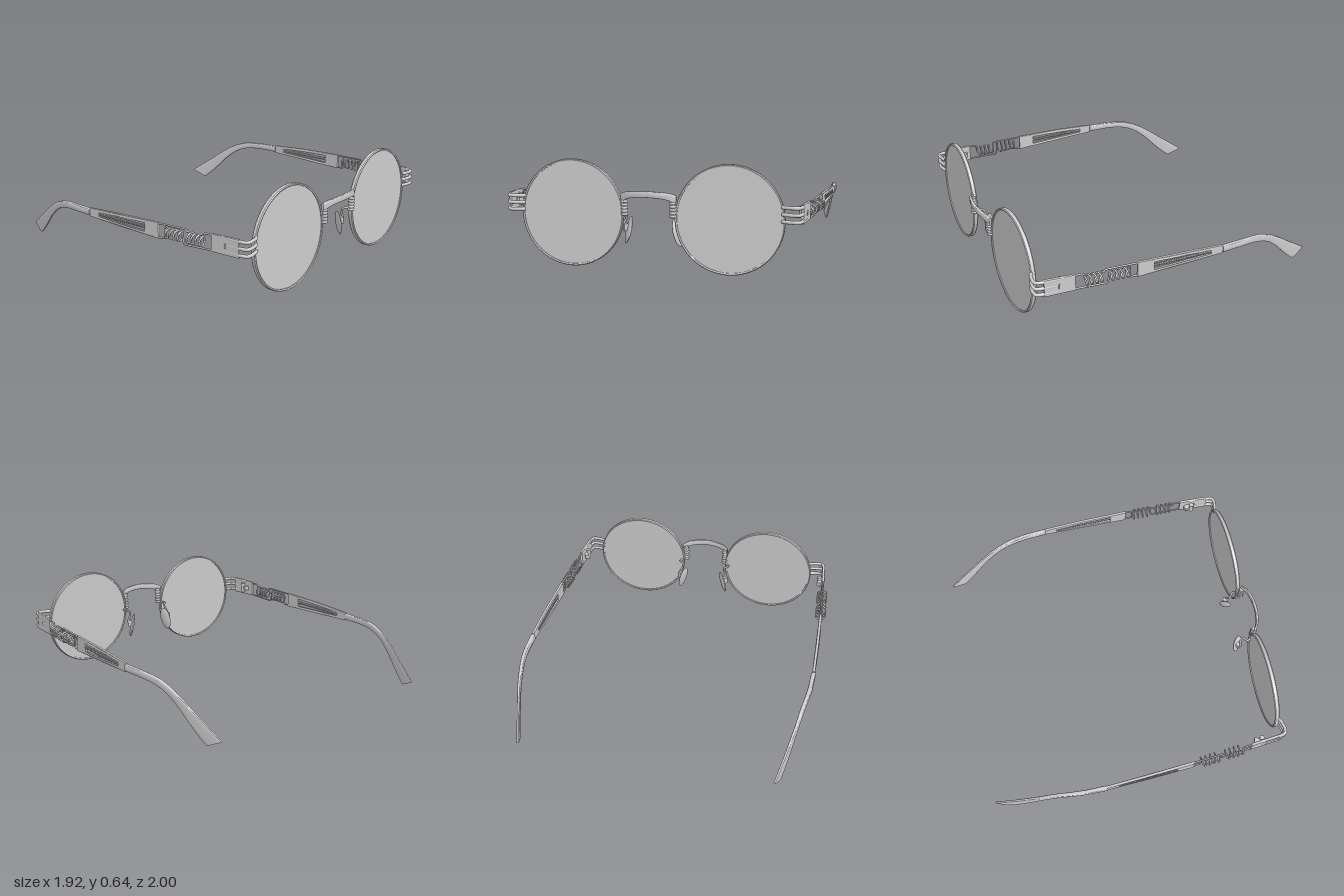
import * as THREE from 'three';
import { toCreasedNormals } from 'three/addons/utils/BufferGeometryUtils.js';

const V = (x, y, z) => new THREE.Vector3(x, y, z);
const material = new THREE.MeshStandardMaterial({ color: 0xcccccc, side: THREE.DoubleSide });

function part(group, name, geometry) {
  const mesh = new THREE.Mesh(geometry, material);
  mesh.name = name;
  group.add(mesh);
  return mesh;
}

// Sideways position of the temple at a given depth
const templeKnots = [[-1, 0.81], [-0.85, 0.853], [-0.7, 0.892], [-0.5, 0.929], [-0.38, 0.942], [-0.27, 0.945],
  [0, 0.94], [0.3, 0.93], [0.7, 0.907], [0.95, 0.888]];
function templeX(z) {
  let i = 1;
  while (i < templeKnots.length - 1 && z > templeKnots[i][0]) i++;
  const [z0, x0] = templeKnots[i - 1], [z1, x1] = templeKnots[i];
  return x0 + (x1 - x0) * (z - z0) / (z1 - z0);
}

// Skin over soft-cornered rectangles; each section is { c, u, v } with u x v pointing along the path
function loft(sections, n = 20) {
  const pos = [], index = [];
  const soft = t => Math.sign(t) * Math.pow(Math.abs(t), 0.45);
  for (const { c, u, v } of sections) {
    for (let j = 0; j < n; j++) {
      const a = (j / n) * Math.PI * 2;
      const p = c.clone().addScaledVector(u, soft(Math.cos(a))).addScaledVector(v, soft(Math.sin(a)));
      pos.push(p.x, p.y, p.z);
    }
  }
  const last = sections.length - 1, start = pos.length / 3;
  pos.push(...sections[0].c.toArray(), ...sections[last].c.toArray());
  for (let j = 0; j < n; j++) {
    const k = (j + 1) % n;
    for (let i = 0; i < last; i++) {
      const a = i * n + j, b = i * n + k, c = b + n, d = a + n;
      index.push(a, b, d, b, c, d);
    }
    index.push(start, k, j, start + 1, last * n + j, last * n + k);
  }
  const g = new THREE.BufferGeometry();
  g.setAttribute('position', new THREE.Float32BufferAttribute(pos, 3));
  g.setIndex(index);
  return toCreasedNormals(g, 0.6);
}

// Upright plate drawn as [z, y] points that follows the temple line
function plate(outline, hole, thickness) {
  const toPoints = pts => pts.map(([z, y]) => new THREE.Vector2(-z, y));
  const shape = new THREE.Shape(toPoints(outline));
  if (hole) shape.holes.push(new THREE.Path(toPoints(hole)));
  const b = 0.004;
  const g = new THREE.ExtrudeGeometry(shape, { depth: thickness - 2 * b, bevelThickness: b, bevelSize: b, bevelOffset: -b, bevelSegments: 2 });
  g.translate(0, 0, b - thickness / 2).rotateY(Math.PI / 2);
  const p = g.attributes.position;
  for (let i = 0; i < p.count; i++) p.setX(i, p.getX(i) + templeX(p.getZ(i)));
  g.computeVertexNormals();
  return g;
}

function wire(points, radius = 0.006) {
  const curve = new THREE.CatmullRomCurve3(points, false, 'catmullrom', 0.2);
  return new THREE.TubeGeometry(curve, points.length * 8, radius, 8);
}
const templeWire = pts => wire(pts.map(([z, y]) => V(templeX(z), y, z)));

// Coil running along the temple line
class Coil extends THREE.Curve {
  constructor(z0, z1, y0, y1, radius, turns) {
    super();
    Object.assign(this, { z0, z1, y0, y1, radius, turns });
  }
  getPoint(t, target = new THREE.Vector3()) {
    const a = t * this.turns * Math.PI * 2, z = this.z0 + (this.z1 - this.z0) * t;
    return target.set(templeX(z) + this.radius * Math.sin(a),
      this.y0 + (this.y1 - this.y0) * t + this.radius * Math.cos(a), z);
  }
}

// Copy of a group reflected to the other side, with corner order restored
function mirrored(group) {
  const copy = new THREE.Group();
  for (const mesh of group.children) {
    mesh.updateMatrix();
    const src = mesh.geometry.clone().applyMatrix4(mesh.matrix);
    const g = src.index ? src.toNonIndexed() : src;
    g.scale(-1, 1, 1);
    for (const attr of [g.attributes.position, g.attributes.normal]) {
      for (let i = 0; i < attr.count; i += 3) {
        const a = V().fromBufferAttribute(attr, i + 1), b = V().fromBufferAttribute(attr, i + 2);
        attr.setXYZ(i + 1, b.x, b.y, b.z);
        attr.setXYZ(i + 2, a.x, a.y, a.z);
      }
    }
    part(copy, mesh.name, g);
  }
  return copy;
}

function buildSide() {
  const side = new THREE.Group();

  // Round rim and flat lens, leaning back slightly
  const profile = [[0.309, -0.013], [0.317, -0.016], [0.322, -0.01], [0.322, 0.01], [0.317, 0.016], [0.309, 0.013], [0.309, -0.013]];
  const rim = toCreasedNormals(new THREE.LatheGeometry(profile.map(p => new THREE.Vector2(...p)), 72), 0.6);
  const lens = new THREE.CylinderGeometry(0.312, 0.312, 0.014, 72);
  for (const [name, g] of [['rim', rim], ['lens', lens]]) {
    g.rotateX(Math.PI / 2);
    const mesh = part(side, name, g);
    mesh.position.set(0.478, 0.328, 0.927);
    mesh.rotation.set(-0.035, 0.02, 0);
  }

  // Ribbed post holding the bridge to the rim
  part(side, 'bridgePost', new THREE.CylinderGeometry(0.016, 0.016, 0.115, 16)).position.set(0.147, 0.386, 0.946);
  for (let i = 0; i < 5; i++) {
    const ring = part(side, 'bridgePostRing', new THREE.TorusGeometry(0.013, 0.009, 8, 18).rotateX(Math.PI / 2));
    ring.position.set(0.147, 0.338 + i * 0.019, 0.946);
  }

  // Nose pad on a bent wire
  const pad = part(side, 'nosePad', new THREE.SphereGeometry(1, 28, 18).scale(0.014, 0.086, 0.038));
  pad.position.set(0.152, 0.222, 0.854);
  pad.rotation.set(0, -0.55, 0.24, 'ZYX');
  part(side, 'nosePadArm', wire([V(0.168, 0.335, 0.935), V(0.185, 0.33, 0.905), V(0.155, 0.325, 0.88),
    V(0.165, 0.29, 0.865), V(0.185, 0.25, 0.865), V(0.165, 0.235, 0.858)], 0.007));
  const mount = part(side, 'nosePadMount', new THREE.BoxGeometry(0.026, 0.045, 0.034));
  mount.position.set(0.17, 0.24, 0.857);
  mount.rotation.y = -0.55;

  // Three bars wrapping the front corner
  for (const y of [0.417, 0.376, 0.335]) {
    part(side, 'cornerBar', wire([V(0.782, y, 0.93), V(0.8, y, 0.94), V(0.85, y, 0.95), V(0.877, y, 0.945),
      V(0.889, y, 0.92), V(0.895, y, 0.86), V(0.9, y, 0.78)], 0.011));
  }

  // Front temple plate and its hinge
  part(side, 'frontPlate', plate([[0.9, 0.318], [0.9, 0.43], [0.71, 0.422], [0.71, 0.315]], null, 0.018));
  part(side, 'hingeBarrel', new THREE.CylinderGeometry(0.015, 0.015, 0.07, 16)).position.set(0.873, 0.37, 0.79);
  const leaf = part(side, 'hingeLeaf', new THREE.BoxGeometry(0.03, 0.03, 0.08));
  leaf.position.set(0.885, 0.37, 0.78);
  leaf.rotation.y = 0.35;

  // Two springs and the interlocking wires that hold them
  part(side, 'frontSpring', new THREE.TubeGeometry(new Coil(0.655, 0.532, 0.362, 0.358, 0.031, 4), 100, 0.006, 7));
  part(side, 'rearSpring', new THREE.TubeGeometry(new Coil(0.495, 0.368, 0.352, 0.348, 0.031, 4), 100, 0.006, 7));
  part(side, 'upperFrontWire', templeWire([[0.73, 0.413], [0.67, 0.412], [0.658, 0.405], [0.655, 0.385]]));
  part(side, 'lowerFrontWire', templeWire([[0.73, 0.321], [0.52, 0.308], [0.508, 0.314], [0.5, 0.35], [0.495, 0.383]]));
  part(side, 'upperRearWire', templeWire([[0.3, 0.392], [0.515, 0.402], [0.527, 0.397], [0.532, 0.385]]));
  part(side, 'lowerRearWire', templeWire([[0.3, 0.306], [0.355, 0.308], [0.366, 0.316], [0.368, 0.375]]));

  // Slotted temple plate with a coiled rod in the slot
  part(side, 'slottedPlate', plate([[0.32, 0.298], [0.32, 0.4], [0, 0.382], [-0.262, 0.36], [-0.262, 0.304], [0, 0.3]],
    [[0.215, 0.315], [0.215, 0.378], [0, 0.365], [-0.185, 0.35], [-0.185, 0.319], [0, 0.316]], 0.018));
  part(side, 'slotRod', templeWire([[0.22, 0.347], [0, 0.341], [-0.19, 0.335]]));
  part(side, 'slotCoil', new THREE.TubeGeometry(new Coil(0.215, -0.185, 0.347, 0.335, 0.009, 24), 264, 0.004, 5));

  // Curved ear tip: upper edge [z, y], lower edge [z, y]
  const edges = [[-0.262, 0.353, -0.262, 0.31], [-0.4, 0.35, -0.4, 0.308], [-0.5, 0.343, -0.48, 0.303], [-0.56, 0.332, -0.53, 0.294],
    [-0.62, 0.31, -0.59, 0.275], [-0.68, 0.279, -0.65, 0.241], [-0.76, 0.226, -0.72, 0.182], [-0.84, 0.166, -0.79, 0.107],
    [-0.92, 0.11, -0.85, 0.048], [-0.998, 0.053, -0.9, 0.008]];
  part(side, 'earTip', loft(edges.map(([zu, yu, zl, yl], i) => {
    const up = V(templeX(zu), yu, zu), low = V(templeX(zl), yl, zl);
    return {
      c: up.clone().add(low).multiplyScalar(0.5),
      u: V(-0.015 + 0.0008 * i, 0, 0),
      v: up.clone().sub(low).multiplyScalar(0.5),
    };
  })));
  return side;
}

export function createModel() {
  const model = new THREE.Group();
  model.name = 'glasses';
  const left = buildSide(), right = mirrored(left);
  left.name = 'leftSide';
  right.name = 'rightSide';
  model.add(left, right);

  // Bridge strap arching forward between the rims: [x, y, z, half height]
  const half = [[0.168, 0.432, 0.945, 0.026], [0.15, 0.442, 0.955, 0.026], [0.13, 0.453, 0.967, 0.022],
    [0.1, 0.46, 0.978, 0.02], [0.05, 0.465, 0.988, 0.019]];
  const path = [...half.map(([x, ...r]) => [-x, ...r]), [0, 0.467, 0.991, 0.019], ...half.reverse()];
  part(model, 'bridge', loft(path.map(([x, y, z, h]) => ({ c: V(x, y, z), u: V(0, h, 0), v: V(0, 0, 0.009) }))));
  return model;
}
